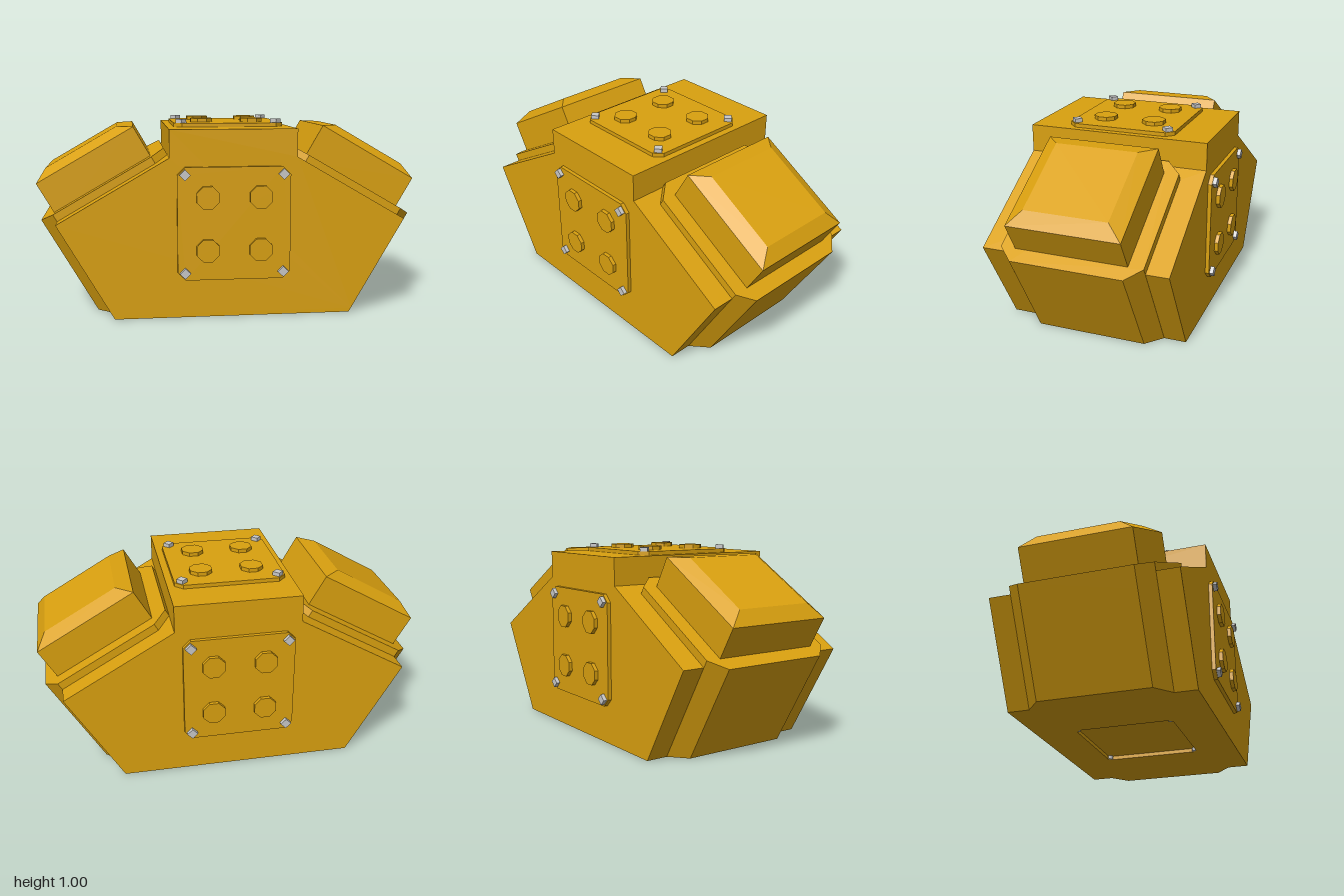
import * as THREE from 'three';

export function createModel() {
  const model = new THREE.Group();
  const yellow = new THREE.MeshStandardMaterial({ color: 0xd9a00f });
  yellow.name = 'yellow paint';
  const steel = new THREE.MeshStandardMaterial({ color: 0xc8c8c8 });
  steel.name = 'steel';

  const add = (parent, name, geometry, material = yellow) => {
    const mesh = new THREE.Mesh(geometry, material);
    mesh.name = name;
    parent.add(mesh);
    return mesh;
  };
  const group = (parent, name) => {
    const g = new THREE.Group();
    g.name = name;
    parent.add(g);
    return g;
  };
  const shape = (pts) => new THREE.Shape(pts.map(([x, y]) => new THREE.Vector2(x, y)));
  const extrude = (s, depth) => new THREE.ExtrudeGeometry(s, { depth, bevelEnabled: false });
  // Extrudes a plan shape upward along +y
  const extrudeUp = (s, depth) => extrude(s, depth).rotateX(-Math.PI / 2);
  // Moves every vertex by a rule and restores flat normals
  const reshape = (geometry, rule) => {
    const p = geometry.attributes.position;
    const v = new THREE.Vector3();
    for (let i = 0; i < p.count; i++) {
      v.fromBufferAttribute(p, i);
      rule(v);
      p.setXYZ(i, v.x, v.y, v.z);
    }
    geometry.computeVertexNormals();
    return geometry;
  };
  // Square outline with cut corners
  const cutSquare = (r, c) => [
    [r, -r + c], [r, r - c], [r - c, r], [-r + c, r],
    [-r, r - c], [-r, -r + c], [-r + c, -r], [r - c, -r],
  ];

  const slope = Math.tan(Math.PI / 6);
  const recess = 0.02;

  // Main body
  const half = [[0.608 + recess * slope, recess], [0.891, 0.49], [0.325, 0.818], [0.325, 0.96]];
  const outline = [...half, ...half.map(([x, y]) => [-x, y]).reverse()];
  add(model, 'body', extrude(shape(outline), 0.96).translate(0, 0, -0.48));

  // Underside frame around a shallow recess
  const frame = shape([[-0.608, -0.48], [0.608, -0.48], [0.608, 0.48], [-0.608, 0.48]]);
  frame.holes.push(new THREE.Path(cutSquare(0.26, 0.02).reverse().map(([x, y]) => new THREE.Vector2(x, y))));
  add(model, 'undersideFrame', reshape(extrudeUp(frame, recess), (v) => {
    if (Math.abs(v.x) > 0.5) v.x += Math.sign(v.x) * v.y * slope;
  }));
  for (const x of [-0.25, 0.25]) for (const z of [-0.25, 0.25]) {
    add(model, 'undersideBolt', new THREE.CylinderGeometry(0.016, 0.016, 0.02, 4), steel).position.set(x, 0.0102, z);
  }

  // Bolted access panels, facing local +z
  const addPanel = (name, position, rx, ry) => {
    const panel = group(model, name);
    panel.position.set(...position);
    panel.rotation.set(rx, ry, 0);
    add(panel, 'plate', extrude(shape(cutSquare(0.288, 0.04)), 0.02));
    for (const sx of [-1, 1]) for (const sy of [-1, 1]) {
      const stud = new THREE.CylinderGeometry(0.062, 0.062, 0.04, 8, 1, false, Math.PI / 8)
        .toNonIndexed().rotateX(Math.PI / 2);
      stud.computeVertexNormals();
      add(panel, 'stud', stud).position.set(sx * 0.135, sy * 0.135, 0.02);
      const bolt = new THREE.CylinderGeometry(0.028, 0.028, 0.04, 4).toNonIndexed().rotateX(Math.PI / 2);
      bolt.computeVertexNormals();
      add(panel, 'bolt', bolt, steel).position.set(sx * 0.25, sy * 0.25, 0.02);
    }
  };
  addPanel('frontPanel', [0, 0.485, 0.48], 0, 0);
  addPanel('backPanel', [0, 0.485, -0.48], 0, Math.PI);
  addPanel('topPanel', [0, 0.96, 0], -Math.PI / 2, 0);

  // Angled arms: the local y axis leans 30 degrees outward
  for (const [name, turn] of [['leftArm', 0], ['rightArm', Math.PI]]) {
    const side = group(model, name);
    side.rotation.y = turn;
    const arm = group(side, 'tiltedAssembly');
    arm.rotation.z = -Math.PI / 6;

    // Collar with cut corners
    const collar = shape([
      [-0.052, -0.365], [0.527, -0.365], [0.603, -0.288], [0.603, 0.288],
      [0.527, 0.365], [-0.052, 0.365], [-0.128, 0.288], [-0.128, -0.288],
    ]);
    add(arm, 'collar', extrudeUp(collar, 0.111).translate(0, 0.8, 0));

    // Raised flank down to the ground, cut level at the foot
    const flank = shape([
      [0.42, -0.365], [0.527, -0.365], [0.603, -0.288],
      [0.603, 0.288], [0.527, 0.365], [0.42, 0.365],
    ]);
    add(arm, 'flank', reshape(extrudeUp(flank, 1), (v) => {
      v.y = v.y > 0.5 ? 0.801 : v.x * slope;
    }));

    // Block and its tapered cap
    add(arm, 'block', new THREE.BoxGeometry(0.576, 0.215, 0.576).translate(0.239, 0.9775, 0));
    const cap = reshape(new THREE.BoxGeometry(0.576, 0.042, 0.576), (v) => {
      if (v.y > 0) {
        v.x *= 0.74;
        v.z *= 0.74;
      }
    });
    add(arm, 'cap', cap.translate(0.239, 1.106, 0));
  }
  return model;
}
